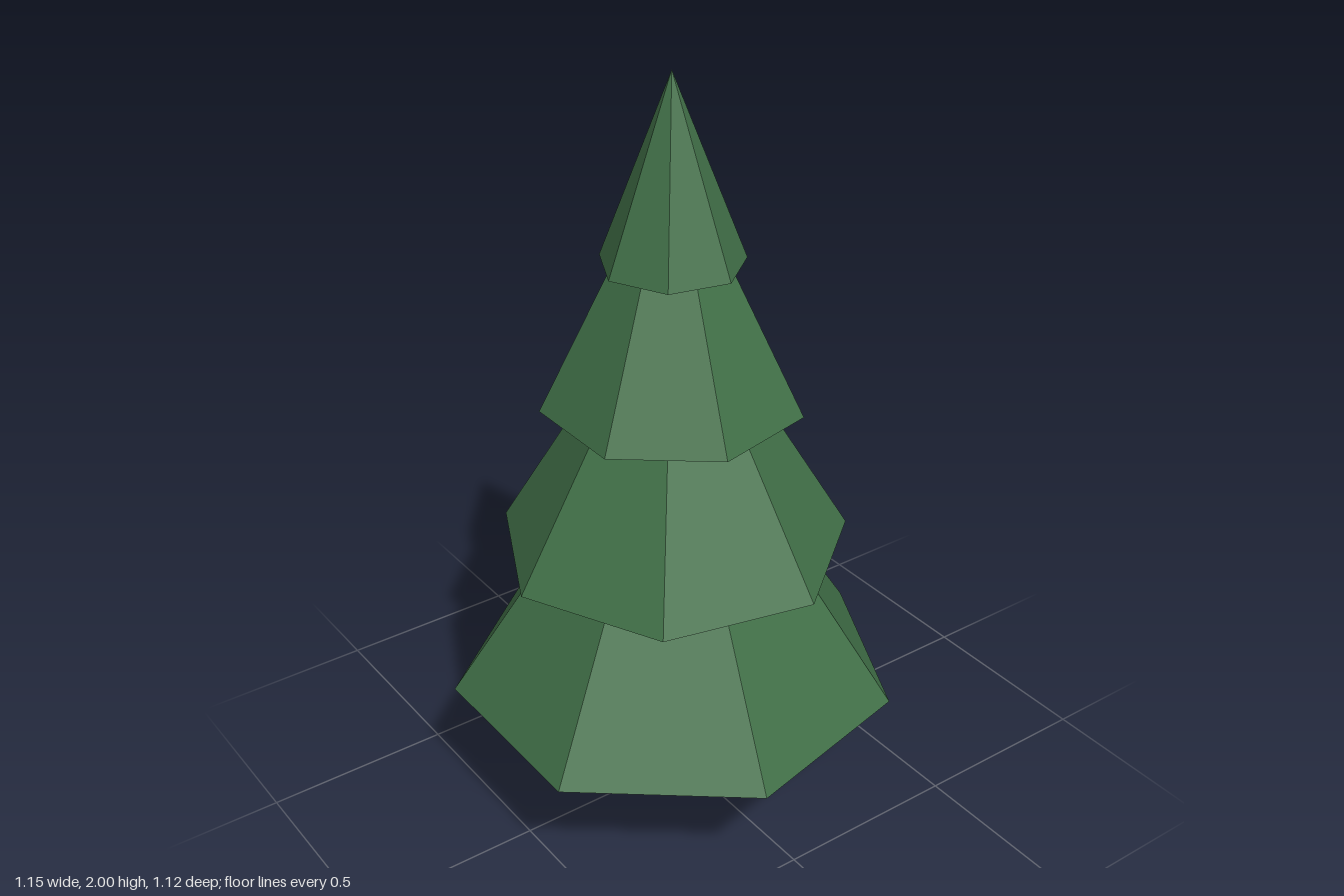
import * as THREE from 'three';

export function createModel() {
  const tree = new THREE.Group();
  tree.name = 'pineTree';

  const needles = new THREE.MeshStandardMaterial({ color: 0x417048, flatShading: true });
  needles.name = 'needle green';
  const bark = new THREE.MeshStandardMaterial({ color: 0x503c2e, flatShading: true });
  bark.name = 'bark brown';

  // The trunk axis sits slightly forward so the lowest tier is centred
  const axisZ = 0.028;

  function add(name, geometry, material, bottom, height, turn) {
    const mesh = new THREE.Mesh(geometry, material);
    mesh.name = name;
    mesh.position.set(0, bottom + height / 2, axisZ);
    mesh.rotation.y = turn;
    tree.add(mesh);
  }

  // Five-sided tapering trunk, running a little way into the foliage
  add('trunk', new THREE.CylinderGeometry(0.054, 0.072, 0.42, 5), bark, 0, 0.42, Math.PI);

  // Seven-sided foliage cones, each turned half a side from the one below
  const tiers = [
    { name: 'lowestTier', bottom: 0.34, radius: 0.59, height: 0.89 },
    { name: 'lowerTier', bottom: 0.75, radius: 0.461, height: 0.77 },
    { name: 'upperTier', bottom: 1.155, radius: 0.333, height: 0.67 },
    { name: 'topTier', bottom: 1.527, radius: 0.183, height: 0.473 },
  ];
  tiers.forEach(({ name, bottom, radius, height }, i) => {
    const turn = i % 2 === 0 ? Math.PI : 0;
    add(name, new THREE.ConeGeometry(radius, height, 7), needles, bottom, height, turn);
  });

  return tree;
}
